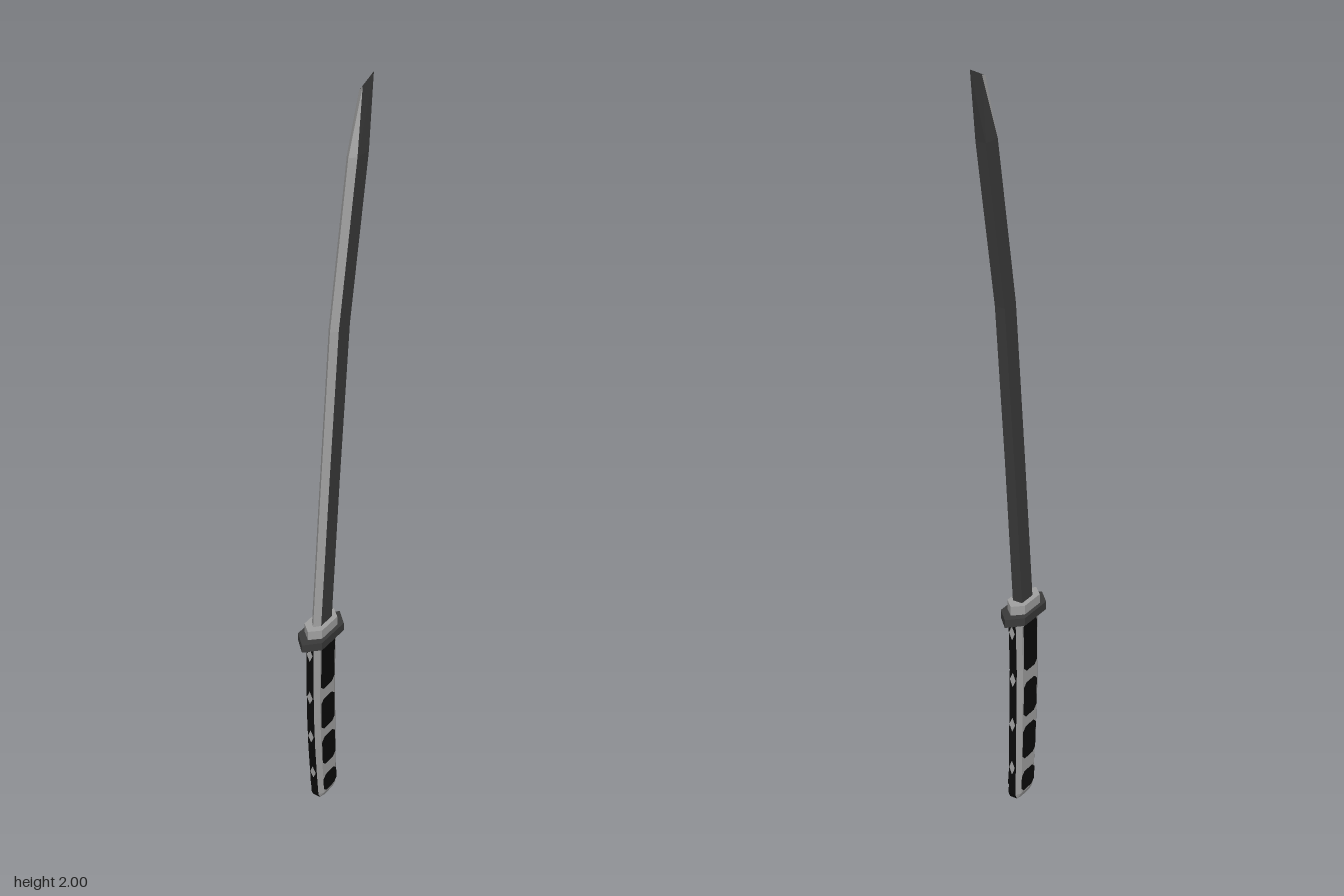
import * as THREE from 'three';

const mat = (name, color, extra = {}) => {
  const m = new THREE.MeshStandardMaterial({ color, flatShading: true, ...extra });
  m.name = name;
  return m;
};

// Skin a stack of rings (each ordered front, +x, back, -x) with one material per side.
function loft(name, rings, sideMats, capMat = sideMats[0]) {
  const mats = [...new Set([...sideMats, capMat])];
  const buckets = mats.map(() => []);
  const add = (m, ...pts) => pts.forEach(p => buckets[mats.indexOf(m)].push(...p));
  const n = rings[0].length;
  for (let r = 0; r < rings.length - 1; r++) {
    for (let i = 0; i < n; i++) {
      const j = (i + 1) % n, lo = rings[r], hi = rings[r + 1];
      add(sideMats[i % sideMats.length], lo[i], lo[j], hi[j], lo[i], hi[j], hi[i]);
    }
  }
  const bottom = rings[0], top = rings[rings.length - 1];
  for (let i = 1; i < n - 1; i++) {
    add(capMat, bottom[0], bottom[i + 1], bottom[i]);
    add(capMat, top[0], top[i], top[i + 1]);
  }
  const geo = new THREE.BufferGeometry();
  geo.setAttribute('position', new THREE.Float32BufferAttribute(buckets.flat(), 3));
  let start = 0;
  buckets.forEach((b, k) => {
    geo.addGroup(start, b.length / 3, k);
    start += b.length / 3;
  });
  geo.computeVertexNormals();
  const mesh = new THREE.Mesh(geo, mats);
  mesh.name = name;
  return mesh;
}

// Thin flat plate: a fan over an outline of points
function plate(name, pts, material) {
  const pos = [];
  for (let i = 1; i < pts.length - 1; i++) pos.push(...pts[0], ...pts[i], ...pts[i + 1]);
  const geo = new THREE.BufferGeometry();
  geo.setAttribute('position', new THREE.Float32BufferAttribute(pos, 3));
  geo.computeVertexNormals();
  const mesh = new THREE.Mesh(geo, material);
  mesh.name = name;
  return mesh;
}

// Pointed hexagon, long in z
const hexRing = (y, w, d, flat, cz = 0.05) => [
  [0, y, cz + d], [w, y, cz + flat], [w, y, cz - flat],
  [0, y, cz - d], [-w, y, cz - flat], [-w, y, cz + flat],
];

// Handle centre line: y, centre z, half depth
const HANDLE = [
  [0, 0.028, 0.036], [0.015, 0.029, 0.043], [0.1, 0.035, 0.046], [0.2, 0.041, 0.049],
  [0.3, 0.046, 0.05], [0.4, 0.049, 0.05], [0.55, 0.048, 0.052],
];
const handleX = y => -0.007 * (1 - y / 0.55);
function handleAt(y) {
  let k = 0;
  while (k < HANDLE.length - 2 && HANDLE[k + 1][0] < y) k++;
  const a = HANDLE[k], b = HANDLE[k + 1], t = (y - a[0]) / (b[0] - a[0]);
  return { x: handleX(y), z: a[1] + (b[1] - a[1]) * t, d: a[2] + (b[2] - a[2]) * t };
}

export function createModel() {
  const group = new THREE.Group();
  const steel = mat('dark steel', 0x3a3a3a);
  const silver = mat('light grey', 0xa0a0a0);
  const black = mat('black', 0x0a0a0a);
  const blackPlate = mat('black', 0x0a0a0a, { side: THREE.DoubleSide });
  const silverPlate = mat('light grey', 0xa0a0a0, { side: THREE.DoubleSide });

  // Blade: bevelled cutting edge in front, flat spine behind
  const w = 0.014;
  const bladeRings = [
    [0.585, 0.087, 0.022, 0], [1.0, 0.058, -0.005, 0.006],
    [1.42, 0.026, -0.037, 0.012], [1.83, -0.037, -0.1, 0.019],
  ].map(([y, f, b, x]) => [
    [x, y, f], [x + w, y, f - 0.016], [x + w, y, b], [x - w, y, b], [x - w, y, f - 0.016],
  ]);
  // The point closes to a single slanted edge
  const tx = 0.02, tipFront = [tx, 1.975, -0.078], tipMid = [tx, 1.98, -0.092], tipBack = [tx, 2, -0.137];
  bladeRings.push([tipFront, tipMid, tipBack, tipBack, tipMid]);
  group.add(loft('blade', bladeRings, [silver, steel, steel, steel, silver], steel));

  // Collar and guard
  group.add(loft('bladeCollar', [hexRing(0.565, 0.027, 0.06, 0.035), hexRing(0.596, 0.027, 0.06, 0.035)], [silver]));
  group.add(loft('guard', [hexRing(0.547, 0.037, 0.087, 0.05), hexRing(0.57, 0.037, 0.087, 0.05)], [steel]));

  // Handle: eight-sided, black front and back, light corners and sides
  const handleRings = HANDLE.map(([y, z, d], k) => {
    const x = handleX(y), hw = k ? 0.02 : 0.015, fw = 0.011, c = 0.016;
    return [
      [x - fw, y, z + d], [x + fw, y, z + d], [x + hw, y, z + d - c], [x + hw, y, z - d + c],
      [x + fw, y, z - d], [x - fw, y, z - d], [x - hw, y, z - d + c], [x - hw, y, z + d - c],
    ];
  });
  group.add(loft('handle', handleRings, [black, silver, silver, silver], black));

  // Black panels with cut corners on both sides of the handle
  const panels = [[0.39, 0.54], [0.25, 0.355], [0.12, 0.22], [0.02, 0.08]];
  for (const s of [1, -1]) {
    for (const [y0, y1] of panels) {
      const c = 0.012, u = 0.031;
      const outline = [
        [u - c, y0], [u, y0 + c], [u, y1 - c], [u - c, y1],
        [c - u, y1], [-u, y1 - c], [-u, y0 + c], [c - u, y0],
      ].map(([dz, y]) => {
        const h = handleAt(y);
        return [h.x + s * 0.0215, y, h.z + dz];
      });
      group.add(plate('handlePanel', outline, blackPlate));
    }
  }

  // Small light diamonds down the front and back of the handle
  for (const s of [1, -1]) {
    for (const yc of [0.515, 0.372, 0.235, 0.1]) {
      const outline = [[0, -0.022], [0.009, 0], [0, 0.022], [-0.009, 0]].map(([dx, dy]) => {
        const h = handleAt(yc + dy);
        return [h.x + dx, yc + dy, h.z + s * (h.d + 0.002)];
      });
      group.add(plate('handleDiamond', outline, silverPlate));
    }
  }
  return group;
}
